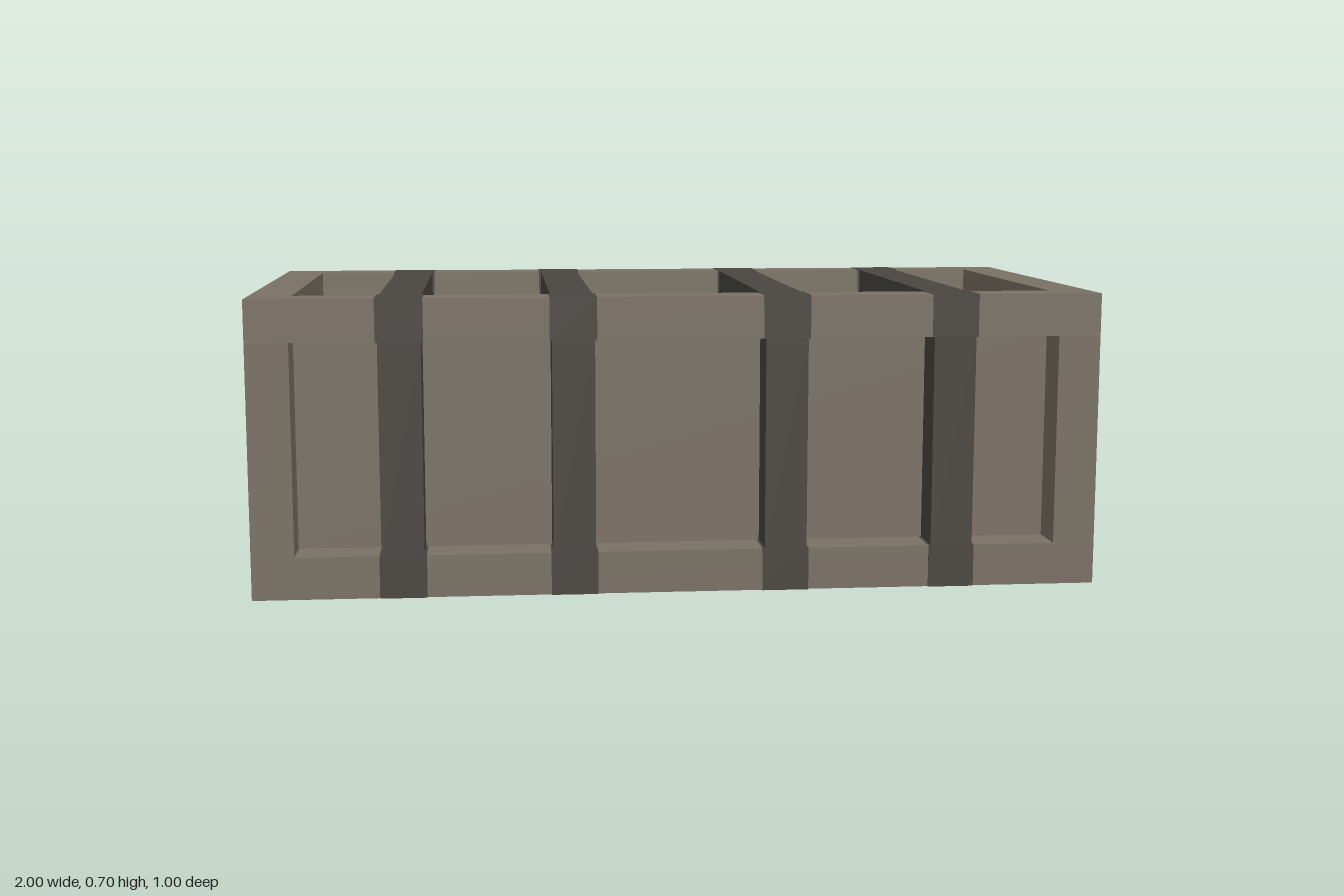
import * as THREE from 'three';

const wood = new THREE.MeshStandardMaterial({ name: 'dull brown', color: 0x7a7164 });
const iron = new THREE.MeshStandardMaterial({ name: 'dark grey', color: 0x4a4641 });

const L = 2, H = 0.7, D = 1; // overall length, height, depth
const T = 0.1;               // beam and band thickness
const LIP = 0.001;           // how far the band clasps stand proud of the beams

function addBox(parent, name, material, size, position) {
  const mesh = new THREE.Mesh(new THREE.BoxGeometry(...size), material);
  mesh.name = name;
  mesh.position.set(...position);
  parent.add(mesh);
}

function group(parent, name) {
  const g = new THREE.Group();
  g.name = name;
  parent.add(g);
  return g;
}

export function createModel() {
  const crate = new THREE.Group();
  crate.name = 'crate';
  const midY = H / 2 + LIP;
  const edgeX = (L - T) / 2, edgeY = (H - T) / 2, edgeZ = (D - T) / 2;

  // Recessed panels: one solid core behind the frame
  addBox(crate, 'panels', wood, [L - 2 * T, H - 2 * T, D - 2 * T], [0, midY, 0]);

  // Twelve edge beams
  const frame = group(crate, 'frame');
  frame.position.y = midY;
  for (const a of [-1, 1]) {
    for (const b of [-1, 1]) {
      addBox(frame, 'longBeam', wood, [L, T, T], [0, a * edgeY, b * edgeZ]);
      addBox(frame, 'cornerPost', wood, [T, H - 2 * T, T], [a * edgeX, 0, b * edgeZ]);
      addBox(frame, 'endBeam', wood, [T, T, D - 2 * T], [a * edgeX, b * edgeY, 0]);
    }
  }

  // Four bands around the crate, flush in the recesses, clasping the long beams
  for (const x of [-0.65, -0.25, 0.25, 0.65]) {
    const band = group(crate, 'band');
    band.position.set(x, midY, 0);
    for (const a of [-1, 1]) {
      addBox(band, 'bandUpright', iron, [T, H - 2 * T, T], [0, 0, a * edgeZ]);
      addBox(band, 'bandCross', iron, [T, T, D - 2 * T], [0, a * edgeY, 0]);
      for (const b of [-1, 1]) {
        const s = T + 2 * LIP;
        addBox(band, 'bandClasp', iron, [T + 0.01, s, s], [0, a * edgeY, b * edgeZ]);
      }
    }
  }
  return crate;
}
